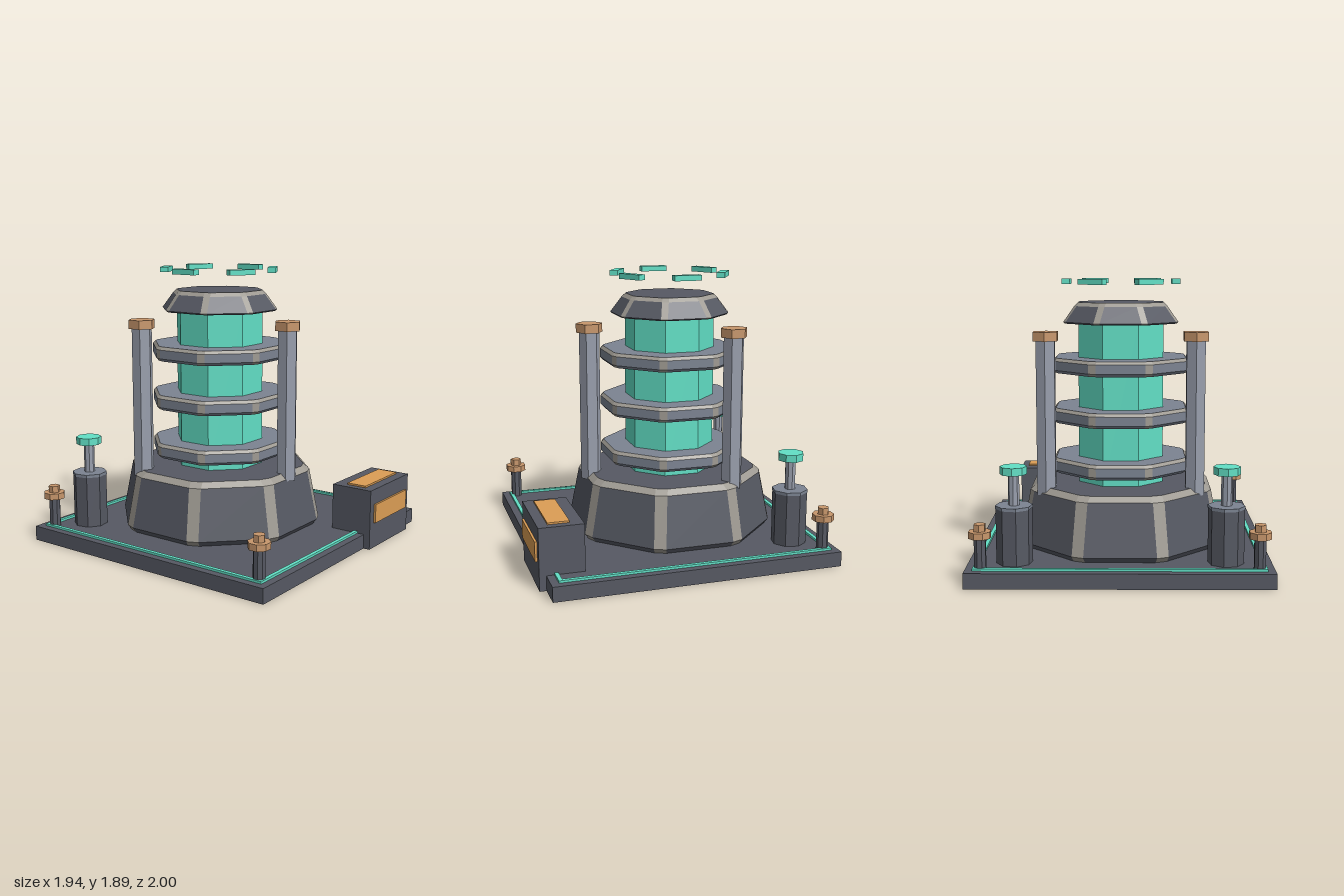
import * as THREE from 'three';

const paint = (color) => new THREE.MeshStandardMaterial({ color, flatShading: true });
const DARK = paint(0x565963), MID = paint(0x7c8492), LIGHT = paint(0x989eac);
const WORN = paint(0x9e9a92), TEAL = paint(0x62e0c6), BRONZE = paint(0xc8976c), AMBER = paint(0xdc9e55);

const TOWER_Z = -0.115, BASE_Z = -0.03;

function add(parent, name, geometry, material, x = 0, y = 0, z = 0) {
  const mesh = new THREE.Mesh(geometry, material);
  mesh.name = name;
  mesh.position.set(x, y, z);
  parent.add(mesh);
  return mesh;
}

function box(parent, name, material, x0, x1, y0, y1, z0, z1) {
  return add(parent, name, new THREE.BoxGeometry(x1 - x0, y1 - y0, z1 - z0), material,
    (x0 + x1) / 2, (y0 + y1) / 2, (z0 + z1) / 2);
}

// Upright prism standing between heights y0 and y1
function prism(parent, name, material, radius, sides, y0, y1, x = 0, z = 0, turn = 0) {
  const mesh = add(parent, name, new THREE.CylinderGeometry(radius, radius, y1 - y0, sides),
    material, x, (y0 + y1) / 2, z);
  mesh.rotation.y = turn;
  return mesh;
}

function flatGeometry(points) {
  const g = new THREE.BufferGeometry().setFromPoints(points);
  g.computeVertexNormals();
  return g;
}

// Octagon with cut corners; apothem is the distance to its flats
function section(y, apothem, cut) {
  const points = [];
  const r = apothem / Math.cos(Math.PI / 8);
  for (let i = 0; i < 8; i++) {
    const a = (i * Math.PI) / 4, c = a + Math.PI / 8, b = a + Math.PI / 4;
    const x = r * Math.sin(c), z = r * Math.cos(c);
    points.push(new THREE.Vector3(x - cut * Math.cos(a), y, z + cut * Math.sin(a)));
    points.push(new THREE.Vector3(x + cut * Math.cos(b), y, z - cut * Math.sin(b)));
  }
  return points;
}

// Stacked sections [y, apothem]; the corners and the top bevel are worn edges
function bevelledOctagon(parent, name, material, levels, cut) {
  const body = [], edges = [];
  const rings = levels.map(([y, a]) => section(y, a, cut));
  const last = rings.length - 1;
  for (let k = 0; k < last; k++) {
    for (let j = 0; j < 16; j++) {
      const n = (j + 1) % 16, p = rings[k], q = rings[k + 1];
      const target = j % 2 === 0 || k === last - 1 ? edges : body;
      target.push(p[j], p[n], q[n], p[j], q[n], q[j]);
    }
  }
  const low = new THREE.Vector3(0, levels[0][0], 0), high = new THREE.Vector3(0, levels[last][0], 0);
  for (let j = 0; j < 16; j++) {
    const n = (j + 1) % 16;
    body.push(high, rings[last][j], rings[last][n], low, rings[0][n], rings[0][j]);
  }
  const group = new THREE.Group();
  group.name = name;
  add(group, name + 'Body', flatGeometry(body), material);
  add(group, name + 'WornEdges', flatGeometry(edges), WORN);
  parent.add(group);
}

export function createModel() {
  const model = new THREE.Group();
  model.name = 'reactorTower';

  // Base slab with a glowing border strip
  box(model, 'baseSlab', DARK, -0.97, 0.97, 0, 0.1, -1, 0.94);
  const border = new THREE.Group();
  border.name = 'borderStrip';
  border.position.z = BASE_Z;
  model.add(border);
  for (const s of [-1, 1]) {
    add(border, 'borderAcross', new THREE.BoxGeometry(1.84, 0.016, 0.026), TEAL, 0, 0.107, s * 0.907);
    add(border, 'borderAlong', new THREE.BoxGeometry(0.026, 0.016, 1.788), TEAL, s * 0.907, 0.107, 0);
  }

  // Tower: plinth, glowing core, three rings and a cap
  const tower = new THREE.Group();
  tower.name = 'tower';
  tower.position.z = TOWER_Z;
  model.add(tower);
  bevelledOctagon(tower, 'plinth', DARK, [[0.1, 0.65], [0.135, 0.675], [0.48, 0.61], [0.515, 0.57]], 0.044);
  prism(tower, 'core', TEAL, 0.285 / Math.cos(Math.PI / 8), 8, 0.5, 1.61, 0, 0, Math.PI / 8);
  for (const y of [0.64, 0.98, 1.317]) {
    bevelledOctagon(tower, 'ring', MID,
      [[y - 0.05, 0.437], [y - 0.03, 0.455], [y + 0.03, 0.455], [y + 0.05, 0.437]], 0.028);
  }
  bevelledOctagon(tower, 'cap', DARK, [[1.595, 0.375], [1.605, 0.385], [1.71, 0.312], [1.735, 0.287]], 0.024);

  // Three posts around the tower with hexagonal heads
  for (let i = 0; i < 3; i++) {
    const a = (i * 2 * Math.PI) / 3, x = 0.57 * Math.sin(a), z = 0.57 * Math.cos(a);
    prism(tower, 'post', LIGHT, 0.071, 6, 0.466, 1.5, x, z);
    prism(tower, 'postHead', BRONZE, 0.092, 6, 1.49, 1.55, x, z);
  }

  // Halo of six floating tiles
  for (let i = 0; i < 6; i++) {
    const a = Math.PI / 2 + (i * Math.PI) / 3;
    const tile = add(tower, 'haloTile', new THREE.BoxGeometry(0.185, 0.036, 0.056), TEAL,
      0.37 * Math.sin(a), 1.873, 0.37 * Math.cos(a));
    tile.rotation.y = a;
  }

  // Rear pylons
  for (const s of [-1, 1]) {
    const x = s * 0.675, z = -0.75;
    prism(model, 'pylonDrum', DARK, 0.117, 8, 0.1, 0.457, x, z, s * 0.2);
    prism(model, 'pylonLip', MID, 0.12, 8, 0.455, 0.475, x, z, s * 0.2);
    prism(model, 'pylonStem', LIGHT, 0.036, 8, 0.47, 0.68, x, z);
    prism(model, 'pylonLamp', TEAL, 0.087, 8, 0.675, 0.725, x, z);
  }

  // Corner bollards, with none beside the console
  for (const [x, z] of [[-0.873, -0.903], [0.873, -0.903], [-0.873, 0.842]]) {
    prism(model, 'bollardStem', DARK, 0.039, 8, 0.1, 0.305, x, z, Math.PI / 8);
    prism(model, 'bollardCollar', BRONZE, 0.073, 8, 0.302, 0.345, x, z, Math.PI / 8);
    prism(model, 'bollardNut', BRONZE, 0.039, 6, 0.34, 0.39, x, z);
  }

  // Console with lit panels on its top and front
  box(model, 'consoleBox', DARK, 0.235, 0.785, 0, 0.415, 0.69, 0.985);
  box(model, 'consoleFrontPanel', AMBER, 0.285, 0.735, 0.18, 0.31, 0.97, 1);
  box(model, 'consoleTopPanel', AMBER, 0.285, 0.735, 0.4, 0.427, 0.775, 0.917);

  return model;
}
